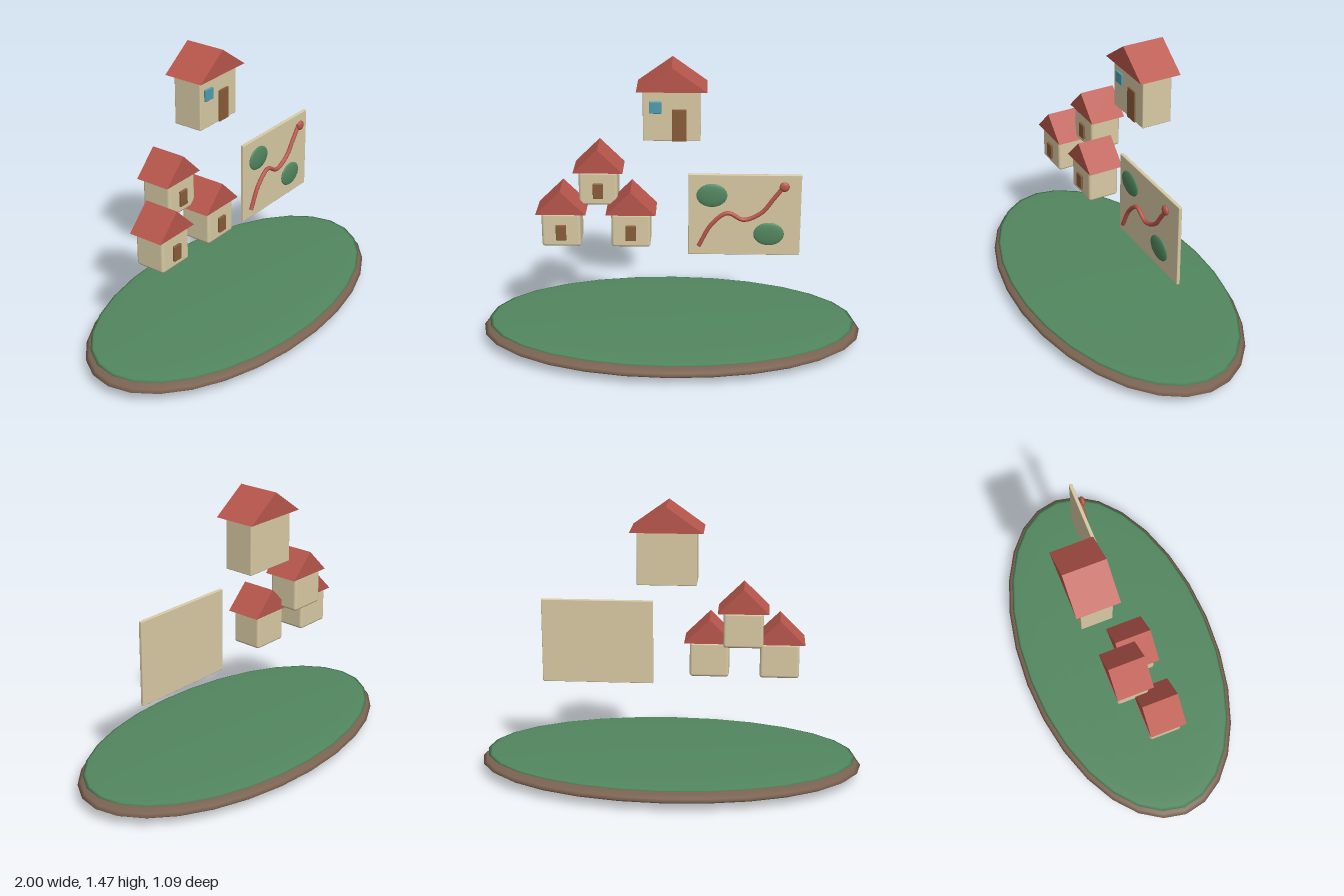
import * as THREE from 'three';
import { RoundedBoxGeometry } from 'three/addons/geometries/RoundedBoxGeometry.js';

const mat = (color) => new THREE.MeshStandardMaterial({ color });
const cream = mat(0xd8caa4), red = mat(0xb9574c), wood = mat(0x8a5c38);
const green = mat(0x52875f), earth = mat(0x7a6250), glass = mat(0x4f9db0);

function add(parent, name, geometry, material, x, y, z) {
  const mesh = new THREE.Mesh(geometry, material);
  mesh.name = name;
  mesh.position.set(x, y, z);
  parent.add(mesh);
  return mesh;
}

// Squashed sphere
function ellipsoid(parent, name, material, [x, y, z], [rx, ry, rz], segments = 28, rows = 16) {
  add(parent, name, new THREE.SphereGeometry(1, segments, rows), material, x, y, z).scale.set(rx, ry, rz);
}

// Solid gable roof with its ridge along z
function roofGeometry(width, height, depth) {
  const s = new THREE.Shape();
  s.moveTo(-width / 2, 0);
  s.lineTo(width / 2, 0);
  s.lineTo(0, height);
  s.closePath();
  return new THREE.ExtrudeGeometry(s, { depth, bevelEnabled: false }).translate(0, 0, -depth / 2);
}

// House with its origin at the middle of the wall base
function house(name, position, wall, roof, radius) {
  const g = new THREE.Group();
  g.name = name;
  g.position.set(...position);
  const [w, h, d] = wall;
  add(g, 'walls', new RoundedBoxGeometry(w, h, d, 3, radius), cream, 0, h / 2, 0);
  add(g, 'roof', roofGeometry(...roof), red, 0, h - 0.003, 0);
  return g;
}

export function createModel() {
  const model = new THREE.Group();

  // Floating ground
  ellipsoid(model, 'earthBase', earth, [0, 0.06, 0], [1, 0.06, 0.545]);
  ellipsoid(model, 'grassTop', green, [0, 0.105, 0], [0.97, 0.018, 0.522]);

  // Large house
  const big = house('largeHouse', [0, 1.077, -0.166], [0.295, 0.27, 0.162], [0.36, 0.129, 0.222], 0.005);
  add(big, 'door', new RoundedBoxGeometry(0.074, 0.17, 0.012, 2, 0.003), wood, 0.038, 0.086, 0.083);
  add(big, 'window', new RoundedBoxGeometry(0.062, 0.062, 0.012, 2, 0.003), glass, -0.084, 0.18, 0.086);
  model.add(big);

  // Three small houses
  [[-0.563, 0.556, 0], [-0.378, 0.744, -0.105], [-0.205, 0.556, 0]].forEach((p, i) => {
    const small = house('smallHouse' + (i + 1), p, [0.2, 0.183, 0.168], [0.256, 0.127, 0.19], 0.015);
    add(small, 'door', new RoundedBoxGeometry(0.053, 0.083, 0.014, 2, 0.004), wood, 0, 0.081, 0.091);
    model.add(small);
  });

  // Map board with raised path and patches
  const map = new THREE.Group();
  map.name = 'mapBoard';
  add(map, 'panel', new RoundedBoxGeometry(0.578, 0.444, 0.018, 2, 0.004), cream, 0.377, 0.71, 0);
  ellipsoid(map, 'upperPatch', green, [0.208, 0.822, 0.018], [0.079, 0.063, 0.012], 28, 16);
  ellipsoid(map, 'lowerPatch', green, [0.503, 0.611, 0.018], [0.079, 0.063, 0.012], 28, 16);
  const path = new THREE.CatmullRomCurve3(
    [[0.142, 0.541], [0.208, 0.663], [0.289, 0.726], [0.374, 0.69], [0.465, 0.731], [0.52, 0.802], [0.576, 0.878]]
      .map(([x, y]) => new THREE.Vector3(x, y, 0.02)));
  add(map, 'path', new THREE.TubeGeometry(path, 60, 0.011, 10), red, 0, 0, 0);
  ellipsoid(map, 'pathMarker', red, [0.577, 0.877, 0.031], [0.026, 0.026, 0.013], 20, 14);
  model.add(map);

  return model;
}
